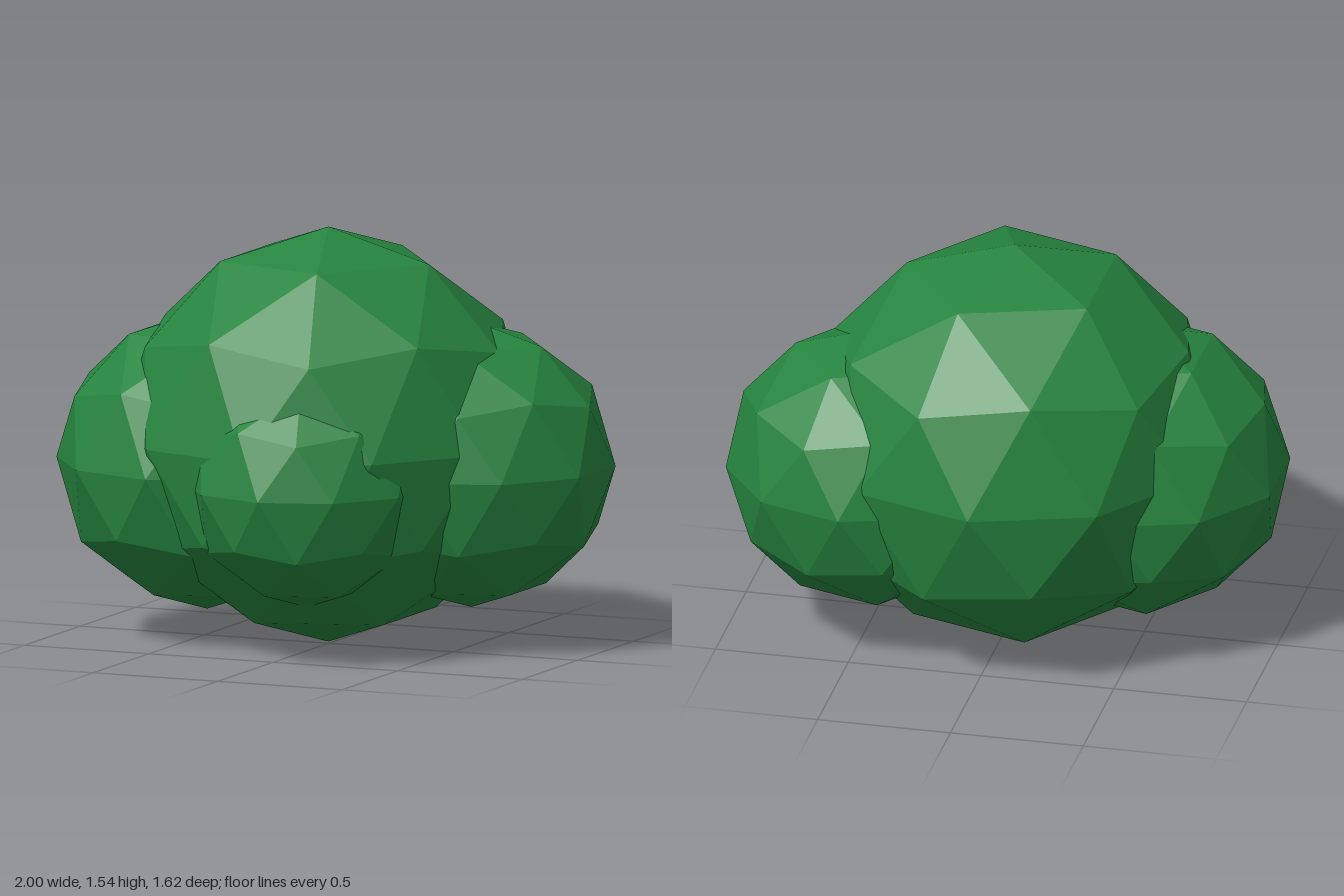
import * as THREE from 'three';

// name, radius, centre of each leafy clump
const CLUMPS = [
  ['mainFoliage', 0.77, [-0.02, 0.77, -0.04]],
  ['leftFoliage', 0.532, [0.49, 0.672, -0.185]],
  ['rightFoliage', 0.556, [-0.471, 0.661, 0.041]],
  ['frontFoliage', 0.45, [0.075, 0.64, 0.36]],
];

export function createModel() {
  const bush = new THREE.Group();
  bush.name = 'bush';

  const leafGreen = new THREE.MeshStandardMaterial({ color: 0x26843f, flatShading: true });
  leafGreen.name = 'leaf green';

  // Faceted ball turned so that one corner points straight up
  const ball = new THREE.IcosahedronGeometry(1, 1);
  ball.rotateZ(-Math.atan(2 / (1 + Math.sqrt(5))));

  for (const [name, radius, centre] of CLUMPS) {
    const clump = new THREE.Mesh(ball, leafGreen);
    clump.name = name;
    clump.scale.setScalar(radius);
    clump.position.set(...centre);
    bush.add(clump);
  }
  return bush;
}
